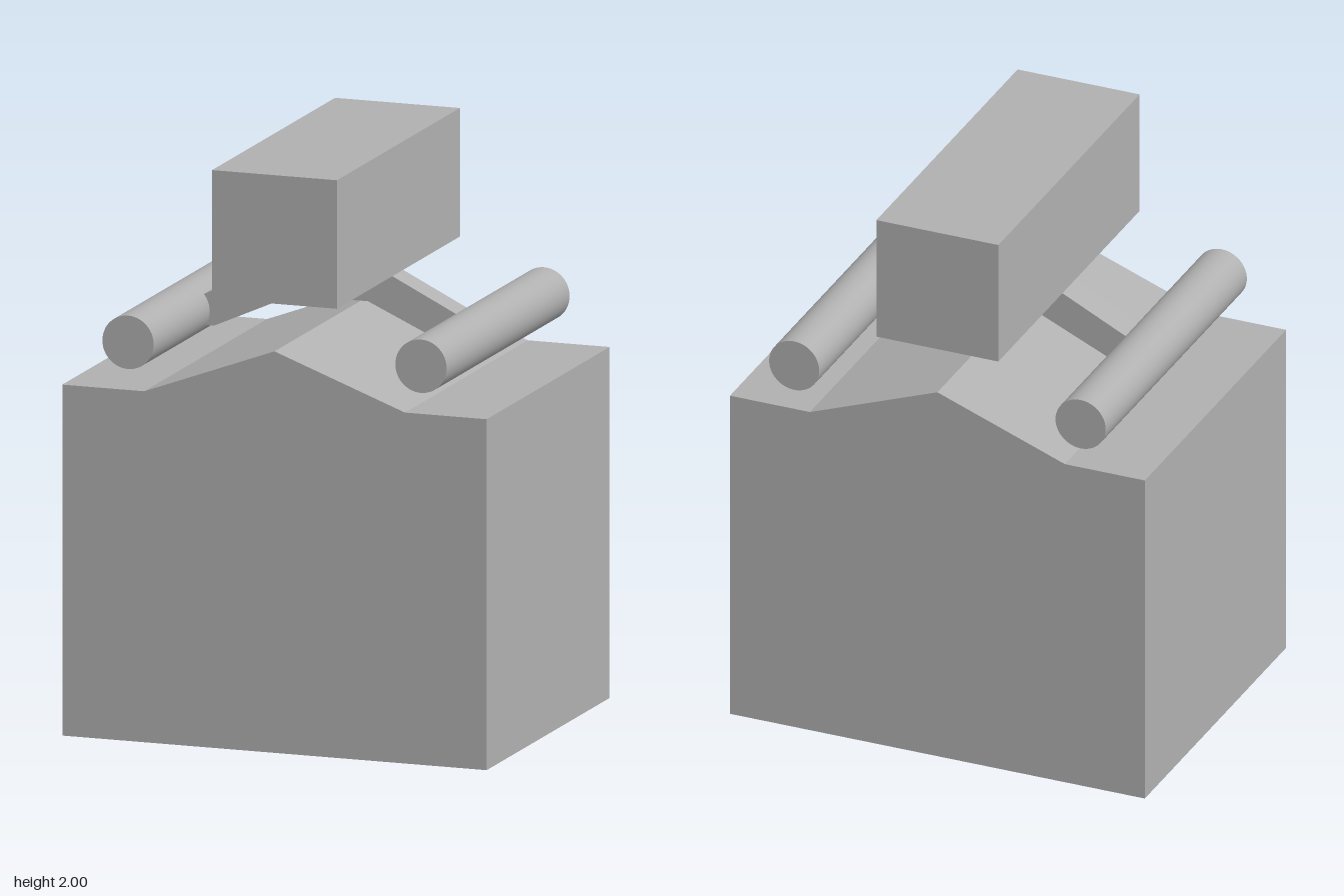
import * as THREE from 'three';

const DEPTH = 1.19;

export function createModel() {
  const group = new THREE.Group();
  const grey = new THREE.MeshStandardMaterial({ color: 0xb0b0b0 });
  grey.name = 'grey';

  const add = (name, geometry, x = 0, y = 0) => {
    const mesh = new THREE.Mesh(geometry, grey);
    mesh.name = name;
    mesh.position.set(x, y, 0);
    group.add(mesh);
  };

  // Extrudes a left-right symmetric outline, given by its right half from bottom to top
  const symmetricPrism = (half, depth) => {
    const mirrored = half.filter(([x]) => x > 0).reverse().map(([x, y]) => [-x, y]);
    const shape = new THREE.Shape([...half, ...mirrored].map(([x, y]) => new THREE.Vector2(x, y)));
    return new THREE.ExtrudeGeometry(shape, { depth, bevelEnabled: false }).translate(0, 0, -depth / 2);
  };

  // Block with a roof-shaped ridge between two flat shoulders
  add('base', symmetricPrism([[0.765, 0], [0.765, 1.215], [0.47, 1.215], [0, 1.39]], DEPTH));

  // Upper block
  add('upperBlock', new THREE.BoxGeometry(0.45, 0.445, DEPTH), 0, 1.7775);

  // Bent bracket carrying the rods
  add('bracket', symmetricPrism(
    [[0.135, 1.46], [0.42, 1.332], [0.46, 1.332], [0.46, 1.437], [0.22, 1.555]], 0.105));

  // Round rods
  for (const side of [1, -1]) {
    const rod = new THREE.CylinderGeometry(0.0925, 0.0925, DEPTH, 48).rotateX(Math.PI / 2);
    add(side > 0 ? 'leftRod' : 'rightRod', rod, side * 0.528, 1.38);
  }

  return group;
}
